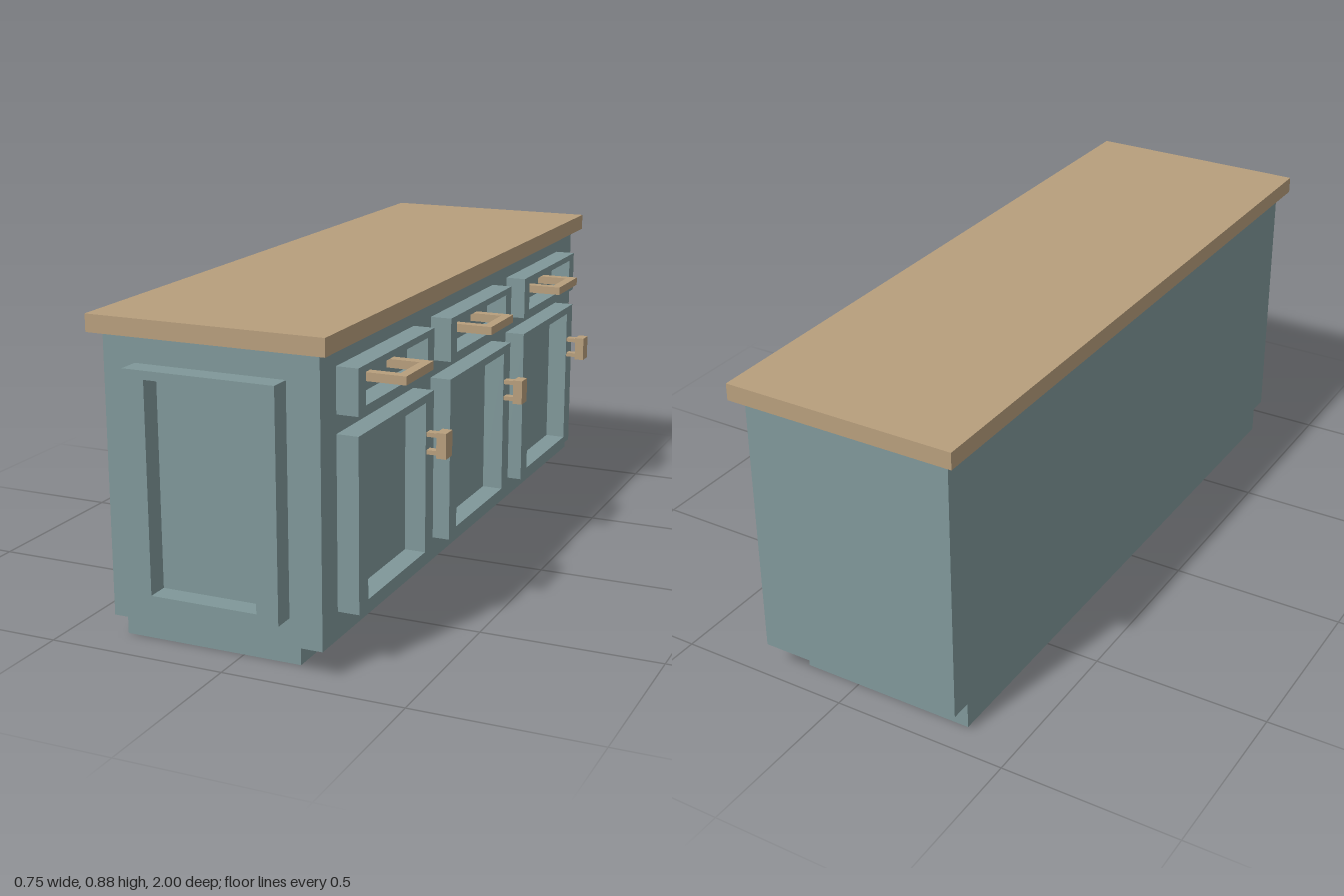
import * as THREE from 'three';

const paint = new THREE.MeshStandardMaterial({ color: 0x7f9799 });
paint.name = 'blue grey paint';
const wood = new THREE.MeshStandardMaterial({ color: 0xb79e7c });
wood.name = 'light wood';

// Box given by its lower and upper corner
function box(name, mat, [x0, y0, z0], [x1, y1, z1]) {
  const mesh = new THREE.Mesh(new THREE.BoxGeometry(x1 - x0, y1 - y0, z1 - z0), mat);
  mesh.name = name;
  mesh.position.set((x0 + x1) / 2, (y0 + y1) / 2, (z0 + z1) / 2);
  return mesh;
}

// Rectangular frame, centred on its opening axis and standing out along +z
function frame(name, width, height, side, rail, depth) {
  const rect = (Type, w, h) => new Type([
    new THREE.Vector2(-w, -h), new THREE.Vector2(w, -h),
    new THREE.Vector2(w, h), new THREE.Vector2(-w, h),
  ]);
  const shape = rect(THREE.Shape, width / 2, height / 2);
  shape.holes.push(rect(THREE.Path, width / 2 - side, height / 2 - rail));
  const mesh = new THREE.Mesh(new THREE.ExtrudeGeometry(shape, { depth, bevelEnabled: false }), paint);
  mesh.name = name;
  return mesh;
}

const FACE = 0.253; // cabinet face carrying doors and drawers
const DEPTH = 0.059; // how far the frames stand out

// One drawer above one door, centred on z = 0
function bay() {
  const g = new THREE.Group();
  g.name = 'bay';

  const drawer = frame('drawerFrame', 0.478, 0.12, 0.044, 0.018, DEPTH);
  drawer.position.set(FACE, 0.72, 0);
  const door = frame('doorFrame', 0.478, 0.461, 0.054, 0.022, DEPTH);
  door.position.set(FACE, 0.38, 0);
  for (const f of [drawer, door]) {
    f.rotation.y = Math.PI / 2;
    g.add(f);
  }

  // Horizontal drawer pull, its posts reaching back into the recess
  const pull = new THREE.Group();
  pull.name = 'drawerPull';
  pull.add(box('pullBar', wood, [0.345, 0.708, -0.088], [0.372, 0.731, 0.088]));
  for (const z of [-0.088, 0.06])
    pull.add(box('pullPost', wood, [FACE, 0.708, z], [0.345, 0.731, z + 0.028]));
  g.add(pull);

  // Small upright door handle on the far stile
  const handle = new THREE.Group();
  handle.name = 'doorHandle';
  handle.add(box('handleGrip', wood, [0.344, 0.441, -0.224], [0.372, 0.512, -0.18]));
  for (const y of [0.446, 0.495])
    handle.add(box('handlePost', wood, [0.31, y, -0.214], [0.344, y + 0.012, -0.19]));
  g.add(handle);
  return g;
}

export function createModel() {
  const model = new THREE.Group();
  model.name = 'kitchenIsland';

  model.add(
    box('plinth', paint, [-0.345, 0, -0.91], [0.163, 0.075, 0.88]),
    box('cabinetBody', paint, [-0.345, 0.075, -0.97], [FACE, 0.83, 0.94]),
    box('worktop', wood, [-0.375, 0.83, -1], [0.282, 0.877, 0.97]),
  );

  // Framed end panel
  const panel = frame('endPanelFrame', 0.418, 0.607, 0.06, 0.023, 0.06);
  panel.position.set(-0.046, 0.4535, 0.94);
  model.add(panel);

  for (const z of [0.613, 0.015, -0.583]) {
    const b = bay();
    b.position.z = z;
    model.add(b);
  }
  return model;
}
